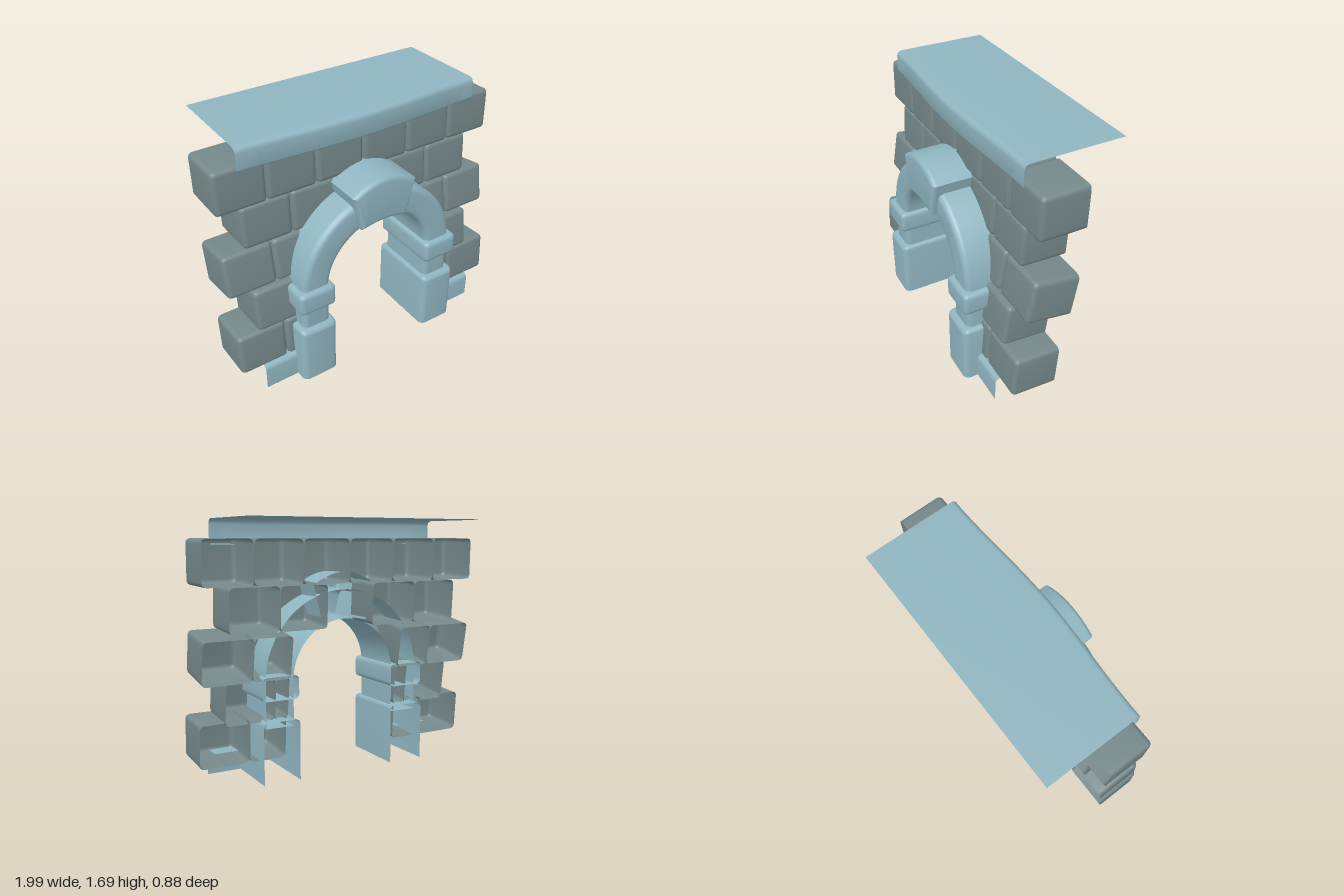
import * as THREE from 'three';
import { toCreasedNormals } from 'three/addons/utils/BufferGeometryUtils.js';

const trim = new THREE.MeshStandardMaterial({ color: 0x8fb5c0, side: THREE.DoubleSide });
const brickMat = new THREE.MeshStandardMaterial({ color: 0x75888a, side: THREE.DoubleSide });

// Rounded rectangle outline; the bottom corners may stay square
function roundRect(x0, y0, x1, y1, r, rb = r) {
  const s = new THREE.Shape();
  s.moveTo(x0 + rb, y0);
  s.lineTo(x1 - rb, y0);
  if (rb) s.quadraticCurveTo(x1, y0, x1, y0 + rb);
  s.lineTo(x1, y1 - r);
  s.quadraticCurveTo(x1, y1, x1 - r, y1);
  s.lineTo(x0 + r, y1);
  s.quadraticCurveTo(x0, y1, x0, y1 - r);
  s.lineTo(x0, y0 + rb);
  if (rb) s.quadraticCurveTo(x0, y0, x0 + rb, y0);
  return s;
}

// Hollow stone: rounded front, open back; anything below floorY is flattened and opened
function shell(shape, zBack, zFront, r, floorY = -Infinity, curveSegments = 4) {
  const g = new THREE.ExtrudeGeometry(shape, {
    depth: zFront - zBack - r, bevelThickness: r, bevelSize: r, bevelOffset: -r,
    bevelSegments: 4, curveSegments,
  });
  const src = g.index ? g.toNonIndexed() : g;
  const p = src.attributes.position;
  const out = [];
  for (let i = 0; i < p.count; i += 3) {
    const ids = [i, i + 1, i + 2];
    if (ids.reduce((sum, k) => sum + p.getZ(k), 0) < -1e-5) continue;
    if (ids.every((k) => p.getY(k) <= floorY)) continue;
    for (const k of ids) out.push(p.getX(k), Math.max(p.getY(k), floorY), p.getZ(k) + zBack);
  }
  const open = new THREE.BufferGeometry();
  open.setAttribute('position', new THREE.Float32BufferAttribute(out, 3));
  return toCreasedNormals(open, 0.6);
}

// Thin sheet: a [z, y] profile running along x, with an optional forward bulge
function sheet(x0, x1, profile, bulge = 0) {
  const g = new THREE.PlaneGeometry(x1 - x0, 1, 24, profile.length - 1);
  const p = g.attributes.position;
  for (let i = 0; i < p.count; i++) {
    const [z, y] = profile[Math.floor(i / 25)];
    const t = p.getX(i) / (x1 - x0);
    const push = z > 0 ? bulge * (0.5 + 0.5 * Math.cos(t * 2 * Math.PI)) : 0;
    p.setXYZ(i, p.getX(i) + (x0 + x1) / 2, y, z + push);
  }
  return toCreasedNormals(g, 0.7);
}

// Quarter-round points about (z, y), from angle a to angle b in degrees
function arc(z, y, r, a, b) {
  return Array.from({ length: 6 }, (_, i) => {
    const t = THREE.MathUtils.degToRad(a + (b - a) * i / 5);
    return [z + r * Math.cos(t), y + r * Math.sin(t)];
  });
}

export function createModel() {
  const model = new THREE.Group();
  const add = (parent, name, geometry, material = trim) => {
    const m = new THREE.Mesh(geometry, material);
    m.name = name;
    parent.add(m);
    return m;
  };

  // Brick courses: front-face centre, lean and the x edges of each brick
  const full = (a, b, n) => Array.from({ length: n }, (_, i) =>
    [a + (b - a) * i / n, a + (b - a) * (i + 1) / n]);
  const wide = full(-1, 1, 6);
  const narrow = full(-0.85, 0.835, 5);
  const courses = [
    { z: 0.312, y: 0.31, lean: 0.07, spans: [wide[0], [-0.667, -0.43], [0.41, 0.667], wide[5]] },
    { z: 0.283, y: 0.585, lean: 0.13, spans: [narrow[0], [-0.513, -0.42], [0.4, 0.498], narrow[4]] },
    { z: 0.222, y: 0.87, lean: 0.165, spans: [wide[0], [-0.667, -0.42], [0.4, 0.667], wide[5]] },
    { z: 0.19, y: 1.15, lean: 0.05, spans: [narrow[0], narrow[1], narrow[3], narrow[4]] },
    { z: 0.188, y: 1.428, lean: 0.015, spans: wide },
  ];
  courses.forEach((c, i) => {
    const row = new THREE.Group();
    row.name = `brickCourse${i + 1}`;
    row.position.set(0, c.y, c.z);
    row.rotation.x = -c.lean;
    for (const [a, b] of c.spans) {
      const outline = roundRect(a + 0.003, -0.142, b - 0.003, 0.142, 0.032);
      add(row, 'brick', shell(outline, -0.3, 0, 0.028), brickMat);
    }
    model.add(row);
  });

  // Doorway, centred slightly off the wall's middle
  const door = new THREE.Group();
  door.name = 'archway';
  door.position.x = -0.01;
  model.add(door);

  // Arch band with its straight legs
  const cy = 0.66, rOut = 0.575, rIn = 0.38;
  const band = new THREE.Shape();
  band.moveTo(rOut, 0.36);
  band.lineTo(rOut, cy);
  band.absarc(0, cy, rOut, 0, Math.PI, false);
  band.lineTo(-rOut, 0.36);
  band.lineTo(-rIn, 0.36);
  band.lineTo(-rIn, cy);
  band.absarc(0, cy, rIn, Math.PI, 0, true);
  band.lineTo(rIn, 0.36);
  add(door, 'archBand', shell(band, -0.02, 0.4, 0.04, -Infinity, 28));

  // Keystone
  const key = new THREE.Shape();
  key.moveTo(-0.165, 1.025);
  key.quadraticCurveTo(0, 1.07, 0.165, 1.025);
  key.lineTo(0.228, 1.27);
  key.quadraticCurveTo(0, 1.43, -0.228, 1.27);
  key.closePath();
  add(door, 'keystone', shell(key, -0.02, 0.44, 0.03, -Infinity, 10));

  // Piers and imposts on both sides
  for (const s of [-1, 1]) {
    const x0 = s * 0.482 - 0.128, x1 = s * 0.482 + 0.128;
    add(door, 'pier', shell(roundRect(x0, -0.06, x1, 0.41, 0.03, 0), -0.06, 0.44, 0.04, 0));
    add(door, 'impost', shell(roundRect(x0, 0.545, x1, 0.7, 0.035), -0.05, 0.435, 0.03));
  }

  // Plinth strips at the foot of the wall
  const plinth = [[0.2, 0.18], ...arc(0.315, 0.145, 0.035, 90, 0), [0.35, 0]];
  add(model, 'leftPlinth', sheet(0.56, 0.835, plinth));
  add(model, 'rightPlinth', sheet(-0.85, -0.58, plinth));

  // Coping sheet with a rolled front lip
  const coping = [[-0.44, 1.69], ...arc(0.165, 1.655, 0.035, 90, 0), ...arc(0.17, 1.56, 0.03, 0, -90)];
  add(model, 'coping', sheet(-0.85, 0.835, coping, 0.038));

  return model;
}
